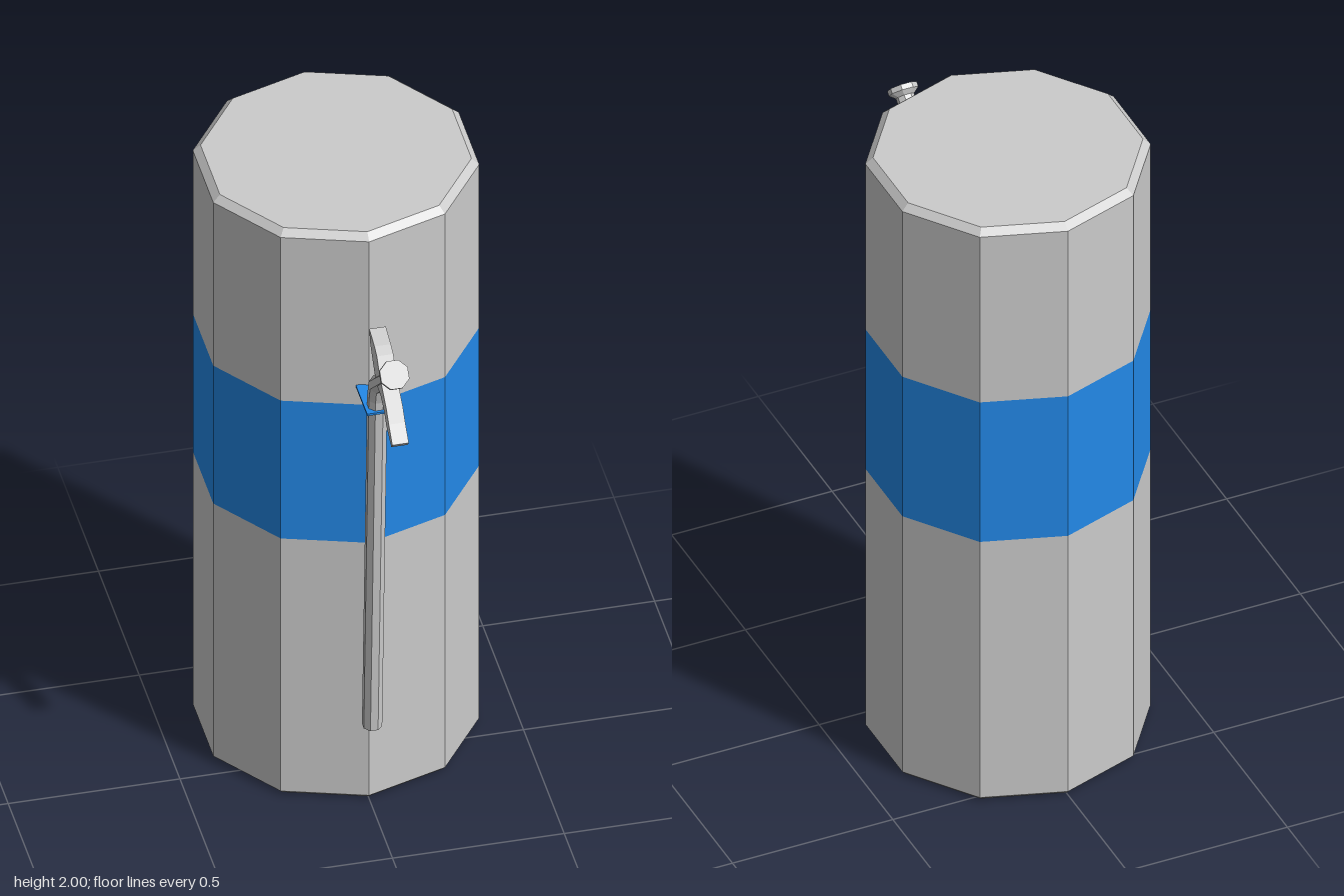
import * as THREE from 'three';

const grey = new THREE.MeshStandardMaterial({ color: 0xcccccc, flatShading: true });
const blue = new THREE.MeshStandardMaterial({ color: 0x2389e8, flatShading: true });

// Octagonal pipe through [z, y, radius] stations in the x = 0 plane, capped at both ends
function pipe(stations, sides = 8) {
  const pos = [], index = [];
  const n = stations.length;
  stations.forEach(([z, y, r], i) => {
    const a = stations[Math.max(i - 1, 0)], b = stations[Math.min(i + 1, n - 1)];
    const t = new THREE.Vector2(b[0] - a[0], b[1] - a[1]).normalize();
    for (let j = 0; j < sides; j++) {
      const q = (j + 0.5) / sides * Math.PI * 2, s = r * Math.sin(q);
      pos.push(r * Math.cos(q), y + s * t.x, z - s * t.y);
    }
  });
  for (let i = 0; i < n - 1; i++) {
    for (let j = 0; j < sides; j++) {
      const k = (j + 1) % sides, a = i * sides, b = a + sides;
      index.push(a + j, a + k, b + k, a + j, b + k, b + j);
    }
  }
  const end = (n - 1) * sides;
  for (let j = 1; j < sides - 1; j++) {
    index.push(0, j + 1, j, end, end + j, end + j + 1);
  }
  const g = new THREE.BufferGeometry();
  g.setAttribute('position', new THREE.Float32BufferAttribute(pos, 3));
  g.setIndex(index);
  const flat = g.toNonIndexed();
  flat.computeVertexNormals();
  return flat;
}

export function createModel() {
  const model = new THREE.Group();
  const add = (name, geometry, material = grey) => {
    const mesh = new THREE.Mesh(geometry, material);
    mesh.name = name;
    model.add(mesh);
    return mesh;
  };

  // Ten-sided tank: stacked wall sections with bevelled rims
  const R = 0.407, tankZ = -0.193;
  const section = (name, y0, y1, r0, r1, material) => {
    const g = new THREE.CylinderGeometry(r1, r0, y1 - y0, 10, 1, true);
    add(name, g, material).position.set(0, (y0 + y1) / 2, tankZ);
  };
  section('bottomBevel', 0, 0.012, 0.395, R);
  section('lowerWall', 0.012, 0.91, R, R);
  section('colourBand', 0.91, 1.4, R, R, blue);
  section('upperWall', 1.4, 1.98, R, R);
  section('topBevel', 1.98, 2, R, 0.385);

  // End caps, with a corner facing the front
  const cap = (name, r, y, turn) => {
    const g = new THREE.CircleGeometry(r, 10, Math.PI / 2).rotateX(turn);
    add(name, g).position.set(0, y, tankZ);
  };
  cap('topCap', 0.385, 2, -Math.PI / 2);
  cap('bottomCap', 0.395, 0, Math.PI / 2);

  // Hose running up the front, bending into the flared nozzle
  add('hoseAndNozzle', pipe([
    [0.25, 0.29, 0.029], [0.312, 1.5, 0.029], [0.33, 1.56, 0.029],
    [0.505, 1.718, 0.027], [0.515, 1.728, 0.044], [0.526, 1.738, 0.044],
  ]));

  // Curved squeeze lever crossing the nozzle, outlined in (z, y)
  const outline = [
    [0.317, 1.751], [0.328, 1.709], [0.36, 1.667], [0.40, 1.62], [0.455, 1.617],
    [0.497, 1.594], [0.525, 1.561], [0.587, 1.53], [0.6, 1.546], [0.556, 1.587],
    [0.525, 1.622], [0.47, 1.66], [0.435, 1.69], [0.41, 1.722], [0.38, 1.735],
  ];
  const shape = new THREE.Shape(outline.map(([z, y]) => new THREE.Vector2(z, y)));
  const lever = new THREE.ExtrudeGeometry(shape, { depth: 0.048, bevelEnabled: false });
  add('lever', lever.translate(0, 0, -0.024).rotateY(-Math.PI / 2));

  // Thin clip holding the hose to the tank
  add('hoseClip', new THREE.BoxGeometry(0.074, 0.007, 0.14), blue).position.set(0, 1.468, 0.276);

  return model;
}
